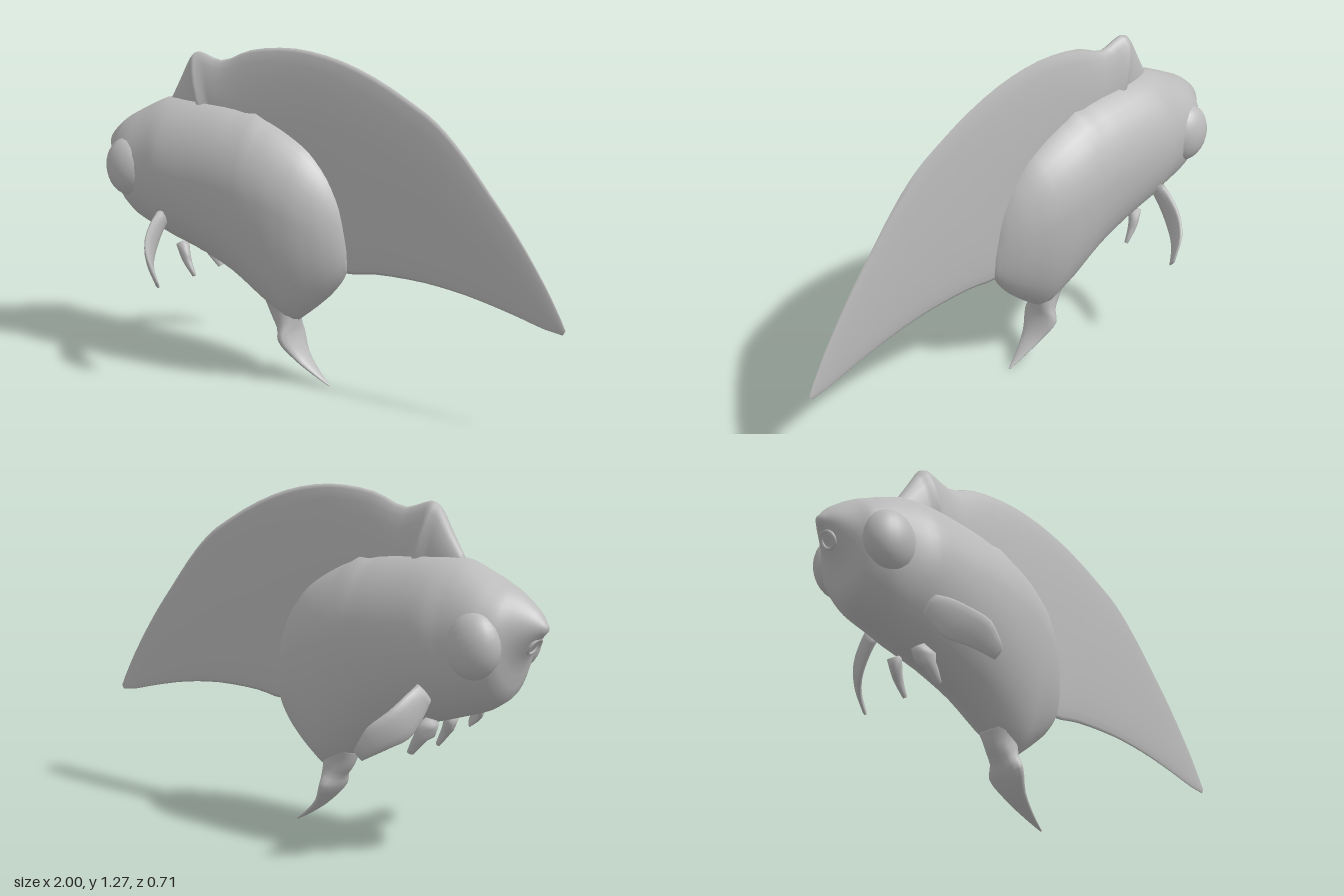
import * as THREE from 'three';

const skin = new THREE.MeshStandardMaterial({ color: 0xbbbbbb, side: THREE.DoubleSide });
skin.name = 'grey skin';
const V = (x, y, z) => new THREE.Vector3(x, y, z);

// Smooth closed skin over rings. Each ring has centre c, and up, down and side radii as vectors.
function loft(rings, { power = 1, sides = 24, steps = 3 } = {}) {
  const track = key => new THREE.CatmullRomCurve3(rings.map(r => r[key]));
  const tracks = ['c', 'up', 'down', 'side'].map(track);
  const rows = (rings.length - 1) * steps;
  const pos = [], index = [];
  for (let i = 0; i <= rows; i++) {
    const [c, up, down, side] = tracks.map(t => t.getPoint(i / rows));
    for (let j = 0; j < sides; j++) {
      const a = j / sides * Math.PI * 2, s = Math.sin(a), k = Math.cos(a);
      const p = c.clone()
        .addScaledVector(side, Math.sign(k) * Math.abs(k) ** power)
        .addScaledVector(s > 0 ? up : down, Math.abs(s));
      pos.push(p.x, p.y, p.z);
    }
  }
  for (let i = 0; i < rows; i++) {
    for (let j = 0; j < sides; j++) {
      const a = i * sides + j, b = i * sides + (j + 1) % sides;
      index.push(a, b, a + sides, b, b + sides, a + sides);
    }
  }
  // End caps
  [0, rows].forEach((row, end) => {
    const c = rings[end ? rings.length - 1 : 0].c, centre = pos.length / 3;
    pos.push(c.x, c.y, c.z);
    for (let j = 0; j < sides; j++) {
      const a = row * sides + j, b = row * sides + (j + 1) % sides;
      index.push(centre, end ? a : b, end ? b : a);
    }
  });
  // Turn the faces outwards if the enclosed volume comes out negative
  let volume = 0;
  const at = i => V(pos[i * 3], pos[i * 3 + 1], pos[i * 3 + 2]);
  for (let i = 0; i < index.length; i += 3) {
    volume += at(index[i]).dot(at(index[i + 1]).cross(at(index[i + 2])));
  }
  if (volume < 0) index.reverse();
  const g = new THREE.BufferGeometry();
  g.setAttribute('position', new THREE.Float32BufferAttribute(pos, 3));
  g.setIndex(index);
  g.computeVertexNormals();
  return g;
}

// Ring with equal up and down radii
const ring = (c, up, side) => ({ c, up, down: up.clone().negate(), side });

export function createModel() {
  const model = new THREE.Group();
  const add = (name, geometry, parent = model) => {
    const mesh = new THREE.Mesh(geometry, skin);
    mesh.name = name;
    parent.add(mesh);
    return mesh;
  };

  // Body: x, top, widest height, bottom, half width
  const body = [
    [-1.0, 0.84, 0.83, 0.815, 0.012],
    [-0.97, 0.88, 0.83, 0.785, 0.045],
    [-0.91, 0.93, 0.81, 0.7, 0.1],
    [-0.87, 0.955, 0.79, 0.585, 0.145],
    [-0.8, 0.99, 0.78, 0.535, 0.178],
    [-0.7, 1.035, 0.78, 0.5, 0.185],
    [-0.62, 1.045, 0.78, 0.475, 0.198],
    [-0.5, 1.045, 0.77, 0.44, 0.195],
    [-0.35, 1.03, 0.76, 0.375, 0.19],
    [-0.22, 1.0, 0.73, 0.29, 0.185],
    [-0.12, 0.955, 0.7, 0.235, 0.17],
    [-0.03, 0.9, 0.66, 0.285, 0.142],
    [0.05, 0.81, 0.61, 0.355, 0.095],
    [0.1, 0.71, 0.56, 0.415, 0.05],
    [0.13, 0.58, 0.52, 0.47, 0.012],
  ];
  add('body', loft(body.map(([x, top, mid, bottom, w]) => ({
    c: V(x, mid, 0), up: V(0, top - mid, 0), down: V(0, bottom - mid, 0), side: V(0, 0, w),
  })), { power: 1.12, sides: 32 }));

  // Dorsal sail: outer edge x, y, inner edge x, y, half thickness
  const sail = [
    [-0.69, 1.02, -0.62, 0.96, 0.025],
    [-0.63, 1.12, -0.55, 0.92, 0.04],
    [-0.58, 1.205, -0.5, 0.9, 0.045],
    [-0.54, 1.222, -0.45, 0.88, 0.045],
    [-0.44, 1.197, -0.38, 0.85, 0.04],
    [-0.3, 1.245, -0.25, 0.8, 0.032],
    [-0.1, 1.265, -0.15, 0.7, 0.026],
    [0.1, 1.235, -0.05, 0.6, 0.023],
    [0.3, 1.16, 0.02, 0.5, 0.02],
    [0.45, 1.08, 0.12, 0.455, 0.018],
    [0.56, 0.99, 0.25, 0.472, 0.016],
    [0.7, 0.83, 0.45, 0.475, 0.013],
    [0.81, 0.695, 0.62, 0.457, 0.01],
    [0.92, 0.535, 0.8, 0.42, 0.007],
    [0.975, 0.44, 0.92, 0.39, 0.005],
    [0.995, 0.4, 0.985, 0.382, 0.003],
  ];
  add('dorsalSail', loft(sail.map(([ox, oy, ix, iy, t]) => ring(
    V((ox + ix) / 2, (oy + iy) / 2, 0), V((ox - ix) / 2, (oy - iy) / 2, 0), V(0, 0, t),
  )), { sides: 20 }));

  // Tail fluke: x, y, half thickness, half width
  const tail = [
    [-0.16, 0.36, 0.09, 0.08],
    [-0.15, 0.28, 0.07, 0.055],
    [-0.135, 0.22, 0.045, 0.06],
    [-0.125, 0.17, 0.032, 0.08],
    [-0.08, 0.1, 0.018, 0.05],
    [-0.01, 0.04, 0.01, 0.022],
    [0.05, 0.0, 0.003, 0.003],
  ];
  add('tailFluke', loft(tail.map(([x, y, t, w]) =>
    ring(V(x, y, 0), V(t * 0.88, t * 0.48, 0), V(0, 0, w))), { sides: 16 }));

  // Lip around the mouth on the slanted snout
  const lip = add('lip', new THREE.TorusGeometry(0.03, 0.007, 8, 24));
  lip.position.set(-0.953, 0.767, 0);
  lip.quaternion.setFromUnitVectors(V(0, 0, 1), V(-0.83, -0.55, 0).normalize());

  // Paired parts
  const pectoral = [
    [-0.625, 0.595, 0.15, 0.04, 0.022],
    [-0.62, 0.555, 0.195, 0.055, 0.018],
    [-0.6, 0.5, 0.255, 0.065, 0.014],
    [-0.55, 0.455, 0.315, 0.055, 0.011],
    [-0.495, 0.395, 0.342, 0.025, 0.007],
  ];
  const ventral = [
    [-0.6, 0.48, 0.06, 0.025, 0.018],
    [-0.565, 0.42, 0.08, 0.025, 0.012],
    [-0.525, 0.36, 0.085, 0.012, 0.005],
  ];
  for (const [side, sign] of [['left', -1], ['right', 1]]) {
    const pair = new THREE.Group();
    pair.name = side + 'Side';
    pair.scale.z = sign;
    model.add(pair);
    add('pectoralFin', loft(pectoral.map(([x, y, z, chord, t]) =>
      ring(V(x, y, z), V(chord * 0.25, chord * 0.78, chord * 0.57), V(t, 0, -t * 0.5))), { sides: 12 }), pair);
    add('ventralFin', loft(ventral.map(([x, y, z, chord, t]) =>
      ring(V(x, y, z), V(chord * 0.6, chord * 0.4, chord * 0.7), V(t, t * 0.5, -t))), { sides: 10 }), pair);
    const eye = add('eyeBulge', new THREE.SphereGeometry(1, 24, 16), pair);
    eye.position.set(-0.8, 0.77, 0.13);
    eye.scale.set(0.1, 0.115, 0.075);
  }
  return model;
}
